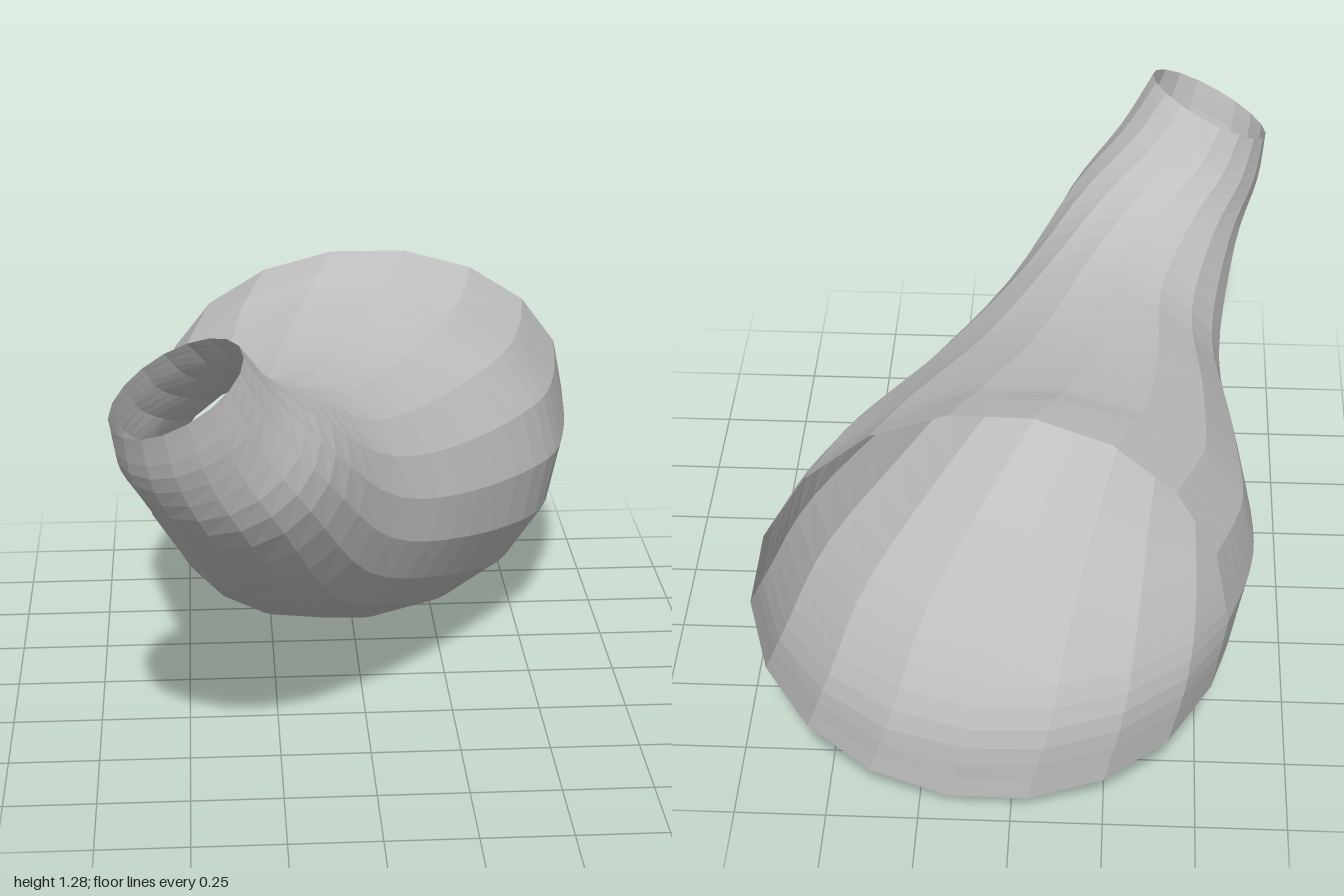
import * as THREE from 'three';

const SIDES = 18;
const RINGS = 28;

// Key cross-sections from the small mouth to the wide mouth:
// centre, sideways half-axis, upward half-axis
const SECTIONS = [
  [[-0.51, 1.195, 0.81], [0.17, 0.083, 0.02], [0, 0.043, -0.185]],
  [[-0.455, 1.065, 0.75], [0.205, 0.07, 0.03], [0.01, 0.085, -0.2]],
  [[-0.35, 0.915, 0.62], [0.245, 0.05, 0.07], [0.02, 0.155, -0.2]],
  [[-0.235, 0.715, 0.32], [0.315, 0.02, 0.1], [0.02, 0.295, -0.12]],
  [[-0.135, 0.618, -0.01], [0.465, 0, 0.09], [0, 0.385, -0.09]],
  [[-0.03, 0.557, -0.35], [0.61, 0, 0.04], [0, 0.49, -0.05]],
  [[0.022, 0.543, -0.59], [0.647, 0, -0.02], [0, 0.542, 0.06]],
  [[0.063, 0.605, -0.825], [0.625, 0, 0.01], [0, 0.515, 0.175]],
];

// Smooth curve through one column of the section table
function column(k) {
  const points = SECTIONS.map((s) => new THREE.Vector3(...s[k]));
  return new THREE.CatmullRomCurve3(points, false, 'catmullrom', 0.5);
}

// Open skin swept through the interpolated cross-sections
function hornGeometry() {
  const [centre, side, up] = [0, 1, 2].map(column);
  const positions = [];
  const indices = [];
  for (let i = 0; i <= RINGS; i++) {
    const t = i / RINGS;
    const c = centre.getPoint(t);
    const a = side.getPoint(t);
    const b = up.getPoint(t);
    for (let j = 0; j < SIDES; j++) {
      const angle = (j / SIDES) * Math.PI * 2;
      const p = c.clone()
        .addScaledVector(a, Math.cos(angle) * 1.005)
        .addScaledVector(b, Math.sin(angle) * 1.005);
      positions.push(p.x, p.y, p.z);
      if (i === RINGS) continue;
      const k = (j + 1) % SIDES;
      const near = i * SIDES;
      const far = near + SIDES;
      indices.push(near + j, far + j, near + k, near + k, far + j, far + k);
    }
  }
  const geometry = new THREE.BufferGeometry();
  geometry.setAttribute('position', new THREE.Float32BufferAttribute(positions, 3));
  geometry.setIndex(indices);
  geometry.computeVertexNormals();
  return geometry;
}

export function createModel() {
  const grey = new THREE.MeshStandardMaterial({
    color: 0xbfbfbf, flatShading: true, side: THREE.DoubleSide,
  });
  grey.name = 'lightGrey';

  // Curved tapering tube, open at both ends
  const horn = new THREE.Mesh(hornGeometry(), grey);
  horn.name = 'curvedHorn';

  const model = new THREE.Group();
  model.name = 'openHorn';
  model.add(horn);
  return model;
}
